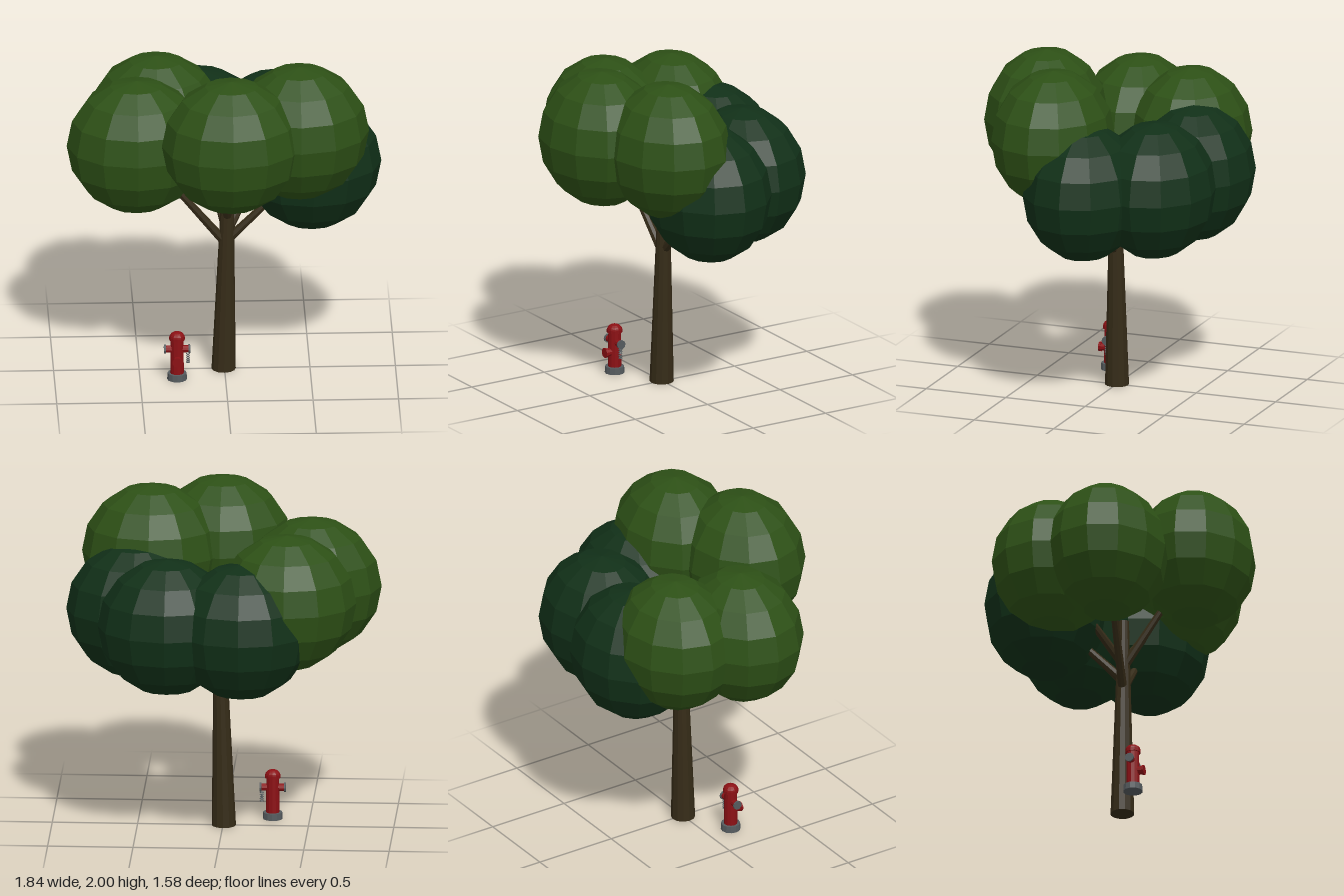
import * as THREE from 'three';

const mat = (name, color) => {
  const m = new THREE.MeshStandardMaterial({ color, flatShading: true });
  m.name = name;
  return m;
};

export function createModel() {
  const leafLight = mat('leaf green', 0x2d5016);
  const leafDark = mat('deep leaf green', 0x113018);
  const bark = mat('bark brown', 0x352b17);
  const red = mat('hydrant red', 0x8b1014);
  const grey = mat('iron grey', 0x555b5e);

  const model = new THREE.Group();
  model.name = 'treeAndHydrant';

  const add = (parent, name, geometry, material, x = 0, y = 0, z = 0) => {
    const mesh = new THREE.Mesh(geometry, material);
    mesh.name = name;
    mesh.position.set(x, y, z);
    parent.add(mesh);
    return mesh;
  };

  // Tapered round bar between two points
  const bar = (parent, name, a, b, r0, r1, material, sides = 8) => {
    const dir = b.clone().sub(a);
    const mid = a.clone().add(b).multiplyScalar(0.5);
    const mesh = add(parent, name, new THREE.CylinderGeometry(r1, r0, dir.length(), sides), material, mid.x, mid.y, mid.z);
    mesh.quaternion.setFromUnitVectors(new THREE.Vector3(0, 1, 0), dir.normalize());
    return mesh;
  };
  const v = (x, y, z) => new THREE.Vector3(x, y, z);

  // Tree: slightly leaning trunk
  const tree = new THREE.Group();
  tree.name = 'tree';
  model.add(tree);
  const leanAt = (y) => -0.005 + 0.021 * y;
  const trunk = new THREE.CylinderGeometry(0.032, 0.071, 1.25, 12).translate(0, 0.625, 0);
  const p = trunk.attributes.position;
  for (let i = 0; i < p.count; i++) p.setX(i, p.getX(i) + leanAt(p.getY(i)));
  add(tree, 'trunk', trunk, bark);

  // Each leaf clump has its own branch: x, y, z, branch start height, colour
  const clumps = [
    [0.025, 1.595, 0.435, 0.95, leafLight],
    [0.43, 1.595, 0.23, 0.98, leafLight],
    [-0.518, 1.452, 0.064, 0.79, leafLight],
    [-0.39, 1.452, -0.31, 0.97, leafLight],
    [0.51, 1.308, 0, 0.81, leafDark],
    [0.307, 1.308, -0.363, 0.86, leafDark],
    [-0.13, 1.308, -0.435, 0.87, leafDark],
  ];
  const clumpGeometry = new THREE.SphereGeometry(1, 12, 8).scale(0.408, 0.407, 0.356);
  for (const [x, y, z, start, material] of clumps) {
    add(tree, 'leafClump', clumpGeometry, material, x, y, z);
    bar(tree, 'branch', v(leanAt(start), start, 0), v(x, y, z), 0.028, 0.014, bark);
  }

  // Fire hydrant
  const hydrant = new THREE.Group();
  hydrant.name = 'hydrant';
  hydrant.position.set(-0.283, 0, 0.15);
  model.add(hydrant);
  add(hydrant, 'base', new THREE.CylinderGeometry(0.056, 0.058, 0.04, 12), grey, 0, 0.02, 0);
  add(hydrant, 'barrel', new THREE.CylinderGeometry(0.037, 0.04, 0.21, 12), red, 0, 0.145, 0);
  add(hydrant, 'bonnetFlange', new THREE.CylinderGeometry(0.046, 0.046, 0.018, 12), red, 0, 0.258, 0);
  const dome = new THREE.SphereGeometry(0.045, 12, 5, 0, Math.PI * 2, 0, Math.PI / 2).scale(1, 0.75, 1);
  add(hydrant, 'bonnet', dome, red, 0, 0.265, 0);

  // Side outlets with caps
  for (const s of [-1, 1]) {
    bar(hydrant, 'sideOutlet', v(0, 0.19, 0), v(s * 0.068, 0.19, 0), 0.021, 0.021, red, 10);
    bar(hydrant, 'sideCap', v(s * 0.066, 0.19, 0), v(s * 0.077, 0.19, 0), 0.027, 0.027, grey, 10);
  }

  // Front outlet
  bar(hydrant, 'frontOutlet', v(0, 0.13, 0), v(0, 0.13, 0.062), 0.025, 0.025, red, 10);
  bar(hydrant, 'frontCap', v(0, 0.13, 0.058), v(0, 0.13, 0.07), 0.03, 0.03, red, 10);

  // Chain hanging below the left cap
  for (let i = 0; i < 5; i++) {
    const link = add(hydrant, 'chainLink', new THREE.TorusGeometry(0.01, 0.003, 4, 8), grey, 0.064, 0.158 - i * 0.013, 0);
    link.rotation.x = Math.PI / 2;
  }

  return model;
}
